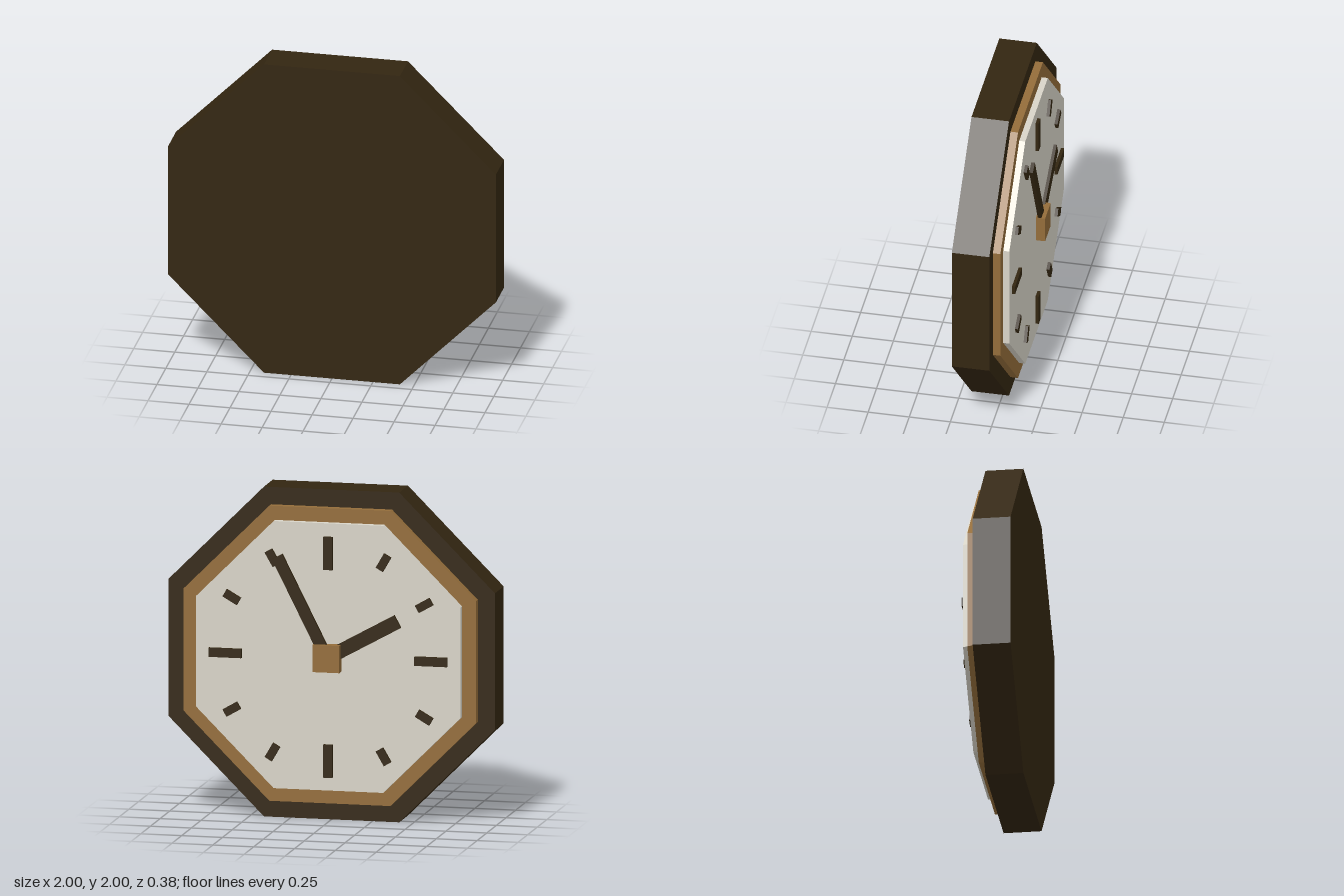
import * as THREE from 'three';

const wood = new THREE.MeshStandardMaterial({ name: 'dark wood', color: 0x332611, flatShading: true });
const brass = new THREE.MeshStandardMaterial({ name: 'brass', color: 0x946d3a, flatShading: true });
const ivory = new THREE.MeshStandardMaterial({ name: 'ivory dial', color: 0xd8d4c8, flatShading: true });

// Octagonal slab given by its flat-to-flat half width and depth range
function octagon(name, apothem, z0, z1, material) {
  const r = apothem / Math.cos(Math.PI / 8);
  const geo = new THREE.CylinderGeometry(r, r, z1 - z0, 8);
  geo.rotateY(Math.PI / 8).rotateX(Math.PI / 2);
  const mesh = new THREE.Mesh(geo, material);
  mesh.name = name;
  mesh.position.z = (z0 + z1) / 2;
  return mesh;
}

// Bar lying along a radius of the dial; degrees run from twelve towards +x
function radialBar(name, degrees, r0, r1, width, z0, z1, material) {
  const geo = new THREE.BoxGeometry(width, r1 - r0, z1 - z0);
  geo.translate(0, (r0 + r1) / 2, (z0 + z1) / 2);
  const mesh = new THREE.Mesh(geo, material);
  mesh.name = name;
  mesh.rotation.z = -THREE.MathUtils.degToRad(degrees);
  return mesh;
}

export function createModel() {
  const model = new THREE.Group();
  model.name = 'wallClock';
  const clock = new THREE.Group();
  clock.name = 'clock';
  clock.position.y = 1;
  model.add(clock);

  // Case, bezel and dial stacked towards -z
  clock.add(octagon('case', 1, -0.038, 0.19, wood));
  clock.add(octagon('bezel', 0.895, -0.084, -0.038, brass));
  clock.add(octagon('dial', 0.81, -0.121, -0.084, ivory));

  // Hour markers, longer at the quarters
  const markers = new THREE.Group();
  markers.name = 'hourMarkers';
  for (let i = 0; i < 12; i++) {
    const quarter = i % 3 === 0;
    markers.add(radialBar('hourMarker', i * 30, quarter ? 0.53 : 0.63, 0.73,
      quarter ? 0.055 : 0.05, -0.14, -0.121, wood));
  }
  clock.add(markers);

  // Hands and square hub
  clock.add(radialBar('hourHand', -61, 0.057, 0.493, 0.085, -0.16, -0.141, wood));
  clock.add(radialBar('minuteHand', 26.8, 0.06, 0.676, 0.07, -0.167, -0.145, wood));
  const hub = new THREE.Mesh(new THREE.BoxGeometry(0.165, 0.165, 0.056), brass);
  hub.name = 'hub';
  hub.position.z = -0.162;
  clock.add(hub);

  return model;
}
